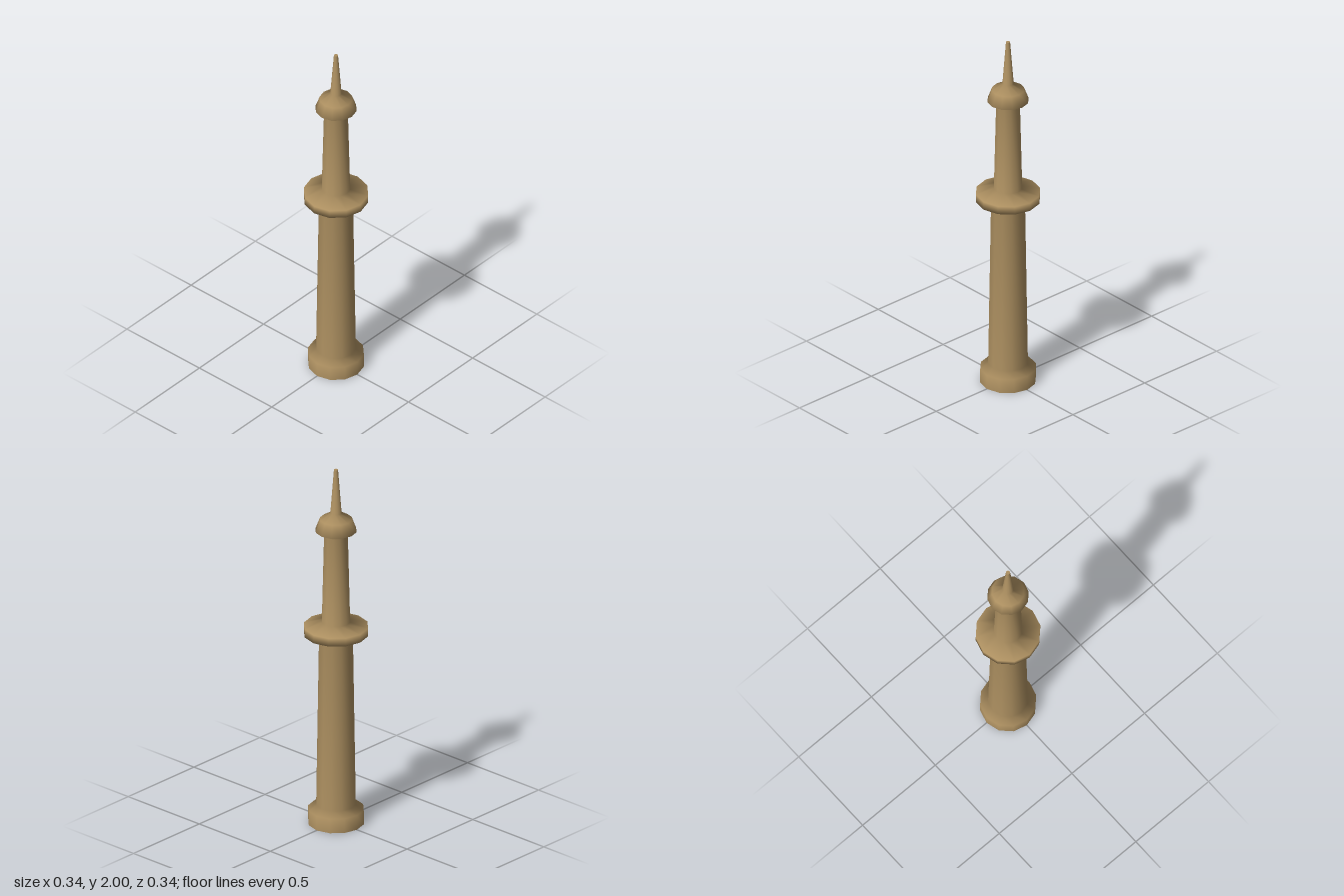
import * as THREE from 'three';

const SIDES = 12;

export function createModel() {
  const tower = new THREE.Group();
  tower.name = 'tower';
  const stone = new THREE.MeshStandardMaterial({ color: 0xac8f60 });
  stone.name = 'sandstone';

  // Radius and height of the turned body, from the ground to the tip
  const profile = [
    [0.147, 0], [0.147, 0.08],      // plinth
    [0.105, 0.107], [0.09, 1.045],  // lower shaft
    [0.17, 1.07], [0.17, 1.115],    // balcony
    [0.075, 1.14], [0.063, 1.63],   // upper shaft
    [0.109, 1.655], [0.085, 1.72],  // dome
    [0.03, 1.755], [0.011, 2],      // spire
  ].map(([r, y]) => new THREE.Vector2(r, y));

  const body = new THREE.Mesh(new THREE.LatheGeometry(profile, SIDES), stone);
  body.name = 'towerBody';
  tower.add(body);

  // Flat ends closing the body
  const addCap = (name, radius, y, tilt) => {
    const cap = new THREE.Mesh(new THREE.CircleGeometry(radius, SIDES), stone);
    cap.name = name;
    cap.rotation.x = tilt;
    cap.position.y = y;
    tower.add(cap);
  };
  addCap('plinthUnderside', 0.147, 0, Math.PI / 2);
  addCap('spireTip', 0.011, 2, -Math.PI / 2);

  return tower;
}
